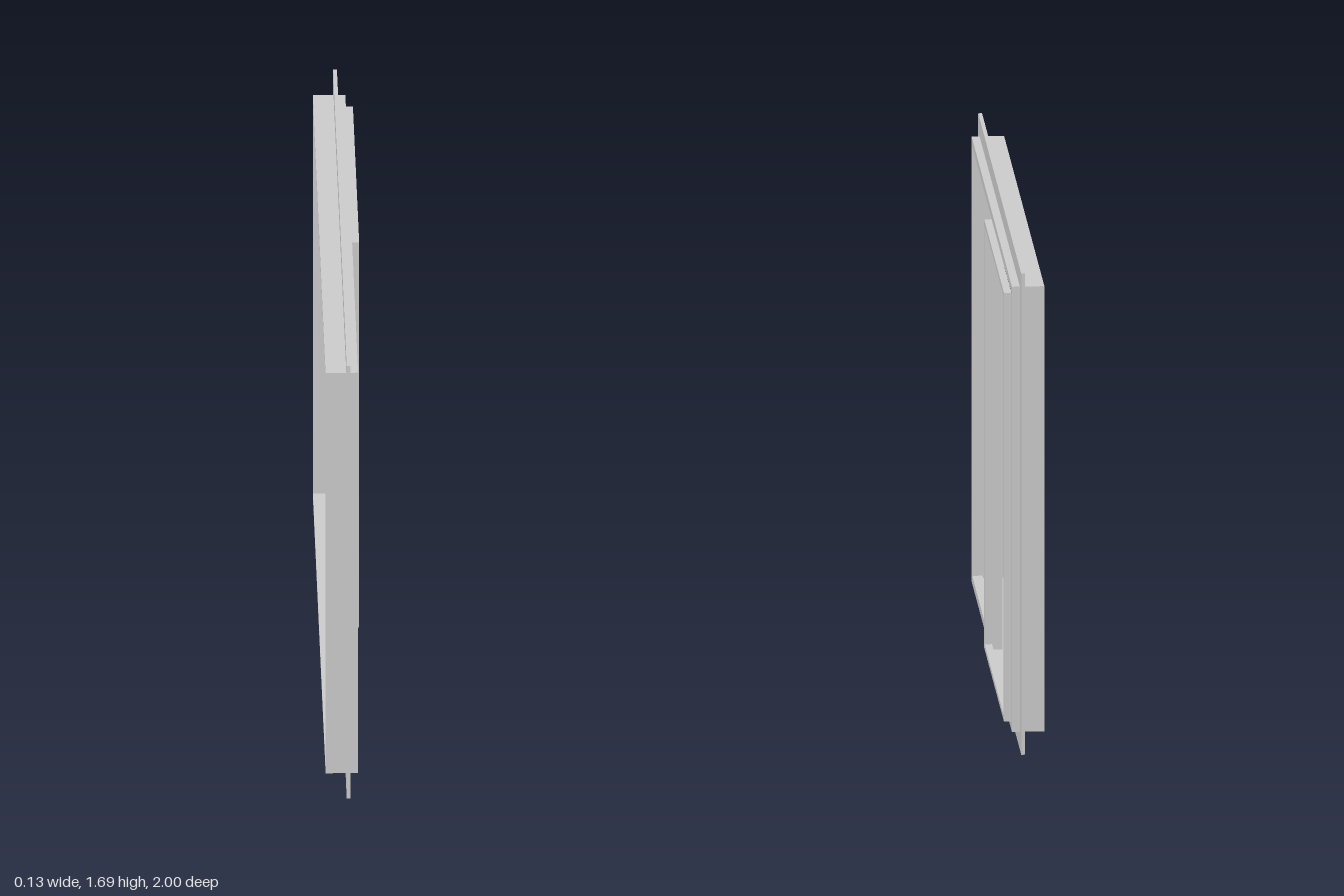
import * as THREE from 'three';

const material = new THREE.MeshStandardMaterial({ color: 0xcccccc });
const HEIGHT = 1.69;

// Rectangle in the z-y plane, drawn with shape x = -z
function rectangle(Type, z0, z1, y0, y1) {
  const path = new Type();
  path.moveTo(-z1, y0);
  path.lineTo(-z0, y0);
  path.lineTo(-z0, y1);
  path.lineTo(-z1, y1);
  path.closePath();
  return path;
}

// Rectangular ring with the given border, running from x0 to x1
function ring(name, x0, x1, [z0, z1, y0, y1], border) {
  const shape = rectangle(THREE.Shape, z0, z1, y0, y1);
  shape.holes.push(rectangle(THREE.Path, z0 + border, z1 - border, y0 + border, y1 - border));
  const geometry = new THREE.ExtrudeGeometry(shape, { depth: x1 - x0, bevelEnabled: false });
  geometry.rotateY(Math.PI / 2);
  geometry.translate(x0, 0, 0);
  const mesh = new THREE.Mesh(geometry, material);
  mesh.name = name;
  return mesh;
}

// Centred outline, inset from the outer edge of the flange
const inset = (d) => [-1 + d, 1 - d, d, HEIGHT - d];

export function createModel() {
  const group = new THREE.Group();
  group.name = 'slidingWindow';

  // Thin nailing flange, deep thin-walled frame and the thicker front lip
  group.add(ring('nailingFlange', 0, 0.013, inset(0), 0.063));
  group.add(ring('frameWall', -0.07, 0.005, inset(0.063), 0.016));
  group.add(ring('frameLip', 0.005, 0.04, inset(0.063), 0.028));

  // Fixed upright between the two openings
  const mullion = new THREE.Mesh(new THREE.BoxGeometry(0.035, HEIGHT - 0.182, 0.026), material);
  mullion.position.set(0.0225, HEIGHT / 2, 0.003);
  mullion.name = 'mullion';
  group.add(mullion);

  // Sash standing proud over one half
  group.add(ring('sash', 0.04, 0.065, [-0.909, 0.008, 0.092, HEIGHT - 0.092], 0.018));

  return group;
}
